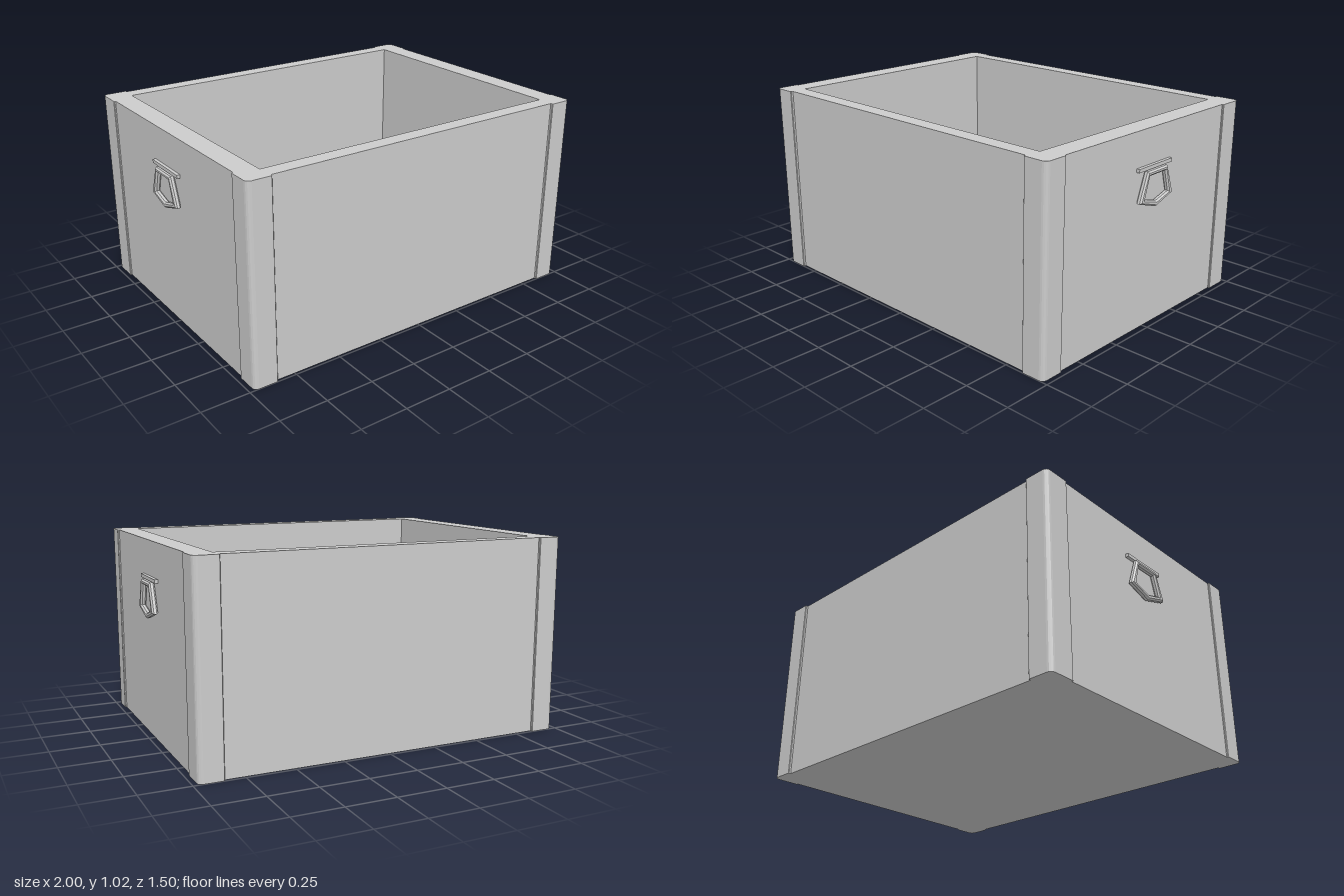
import * as THREE from 'three';

const material = new THREE.MeshStandardMaterial({ color: 0xcccccc, flatShading: true });
const H = 1.02, WX = 0.967, WZ = 0.737, IX = 0.855, IZ = 0.655, PX = 0.976, PZ = 0.75;

const polygon = (Type, pts) => new Type(pts.map(([x, y]) => new THREE.Vector2(x, y)));
const rect = (Type, x, y) => polygon(Type, [[-x, -y], [x, -y], [x, y], [-x, y]]);

function add(parent, name, geometry) {
  const mesh = new THREE.Mesh(geometry, material);
  mesh.name = name;
  parent.add(mesh);
  return mesh;
}

// Extrudes a plan outline upwards from the ground
function upright(shape) {
  return new THREE.ExtrudeGeometry(shape, { depth: H, bevelEnabled: false }).rotateX(-Math.PI / 2);
}

// L-shaped corner guard wrapped around a corner, rounded on the outside
function cornerGuard(sx, sz) {
  const endZ = sz > 0 ? 0.625 : 0.608, endX = 0.85, r = 0.025;
  const pts = [[endX, WZ], [endX, PZ - 0.003], [endX + 0.003, PZ]];
  for (let i = 0; i <= 4; i++) {
    const a = (i / 4) * Math.PI / 2;
    pts.push([PX - r + r * Math.sin(a), PZ - r + r * Math.cos(a)]);
  }
  pts.push([PX, endZ + 0.003], [PX - 0.003, endZ], [WX, endZ], [WX, WZ]);
  return upright(polygon(THREE.Shape, pts.map(([x, z]) => [x * sx, -z * sz])));
}

// Bar with a five-sided bevelled ring hanging under it, facing +x
function createHandle() {
  const handle = new THREE.Group();
  const bar = add(handle, 'handleBar', new THREE.BoxGeometry(0.024, 0.018, 0.262));
  bar.position.set(0.972, 0.832, 0);

  const b = 0.008;
  const ring = polygon(THREE.Shape, [[-0.122, 0.677], [0, 0.639], [0.122, 0.677], [0.073, 0.812], [-0.073, 0.812]]);
  ring.holes.push(polygon(THREE.Path, [[-0.104, 0.681], [0, 0.652], [0.104, 0.681], [0.068, 0.803], [-0.068, 0.803]]));
  const geometry = new THREE.ExtrudeGeometry(ring, {
    depth: 0.014, bevelEnabled: true, bevelSize: b, bevelThickness: b, bevelSegments: 1,
  }).rotateY(Math.PI / 2);
  add(handle, 'handleRing', geometry).position.x = 1 - b - 0.014;
  return handle;
}

export function createModel() {
  const model = new THREE.Group();
  model.name = 'openBox';

  // Four walls with the open cavity, and the floor
  const plan = rect(THREE.Shape, WX, WZ);
  plan.holes.push(rect(THREE.Path, IX, IZ));
  add(model, 'walls', upright(plan));
  add(model, 'floor', new THREE.BoxGeometry(2 * IX, 0.08, 2 * IZ)).position.y = 0.04;

  // Corner guards
  for (const sx of [-1, 1]) {
    for (const sz of [-1, 1]) {
      add(model, `${sz > 0 ? 'front' : 'back'}${sx > 0 ? 'Left' : 'Right'}CornerGuard`, cornerGuard(sx, sz));
    }
  }

  // A handle on each end
  for (const side of ['left', 'right']) {
    const handle = createHandle();
    handle.name = `${side}Handle`;
    handle.position.z = -0.024;
    handle.rotation.y = side === 'left' ? 0 : Math.PI;
    model.add(handle);
  }
  return model;
}
